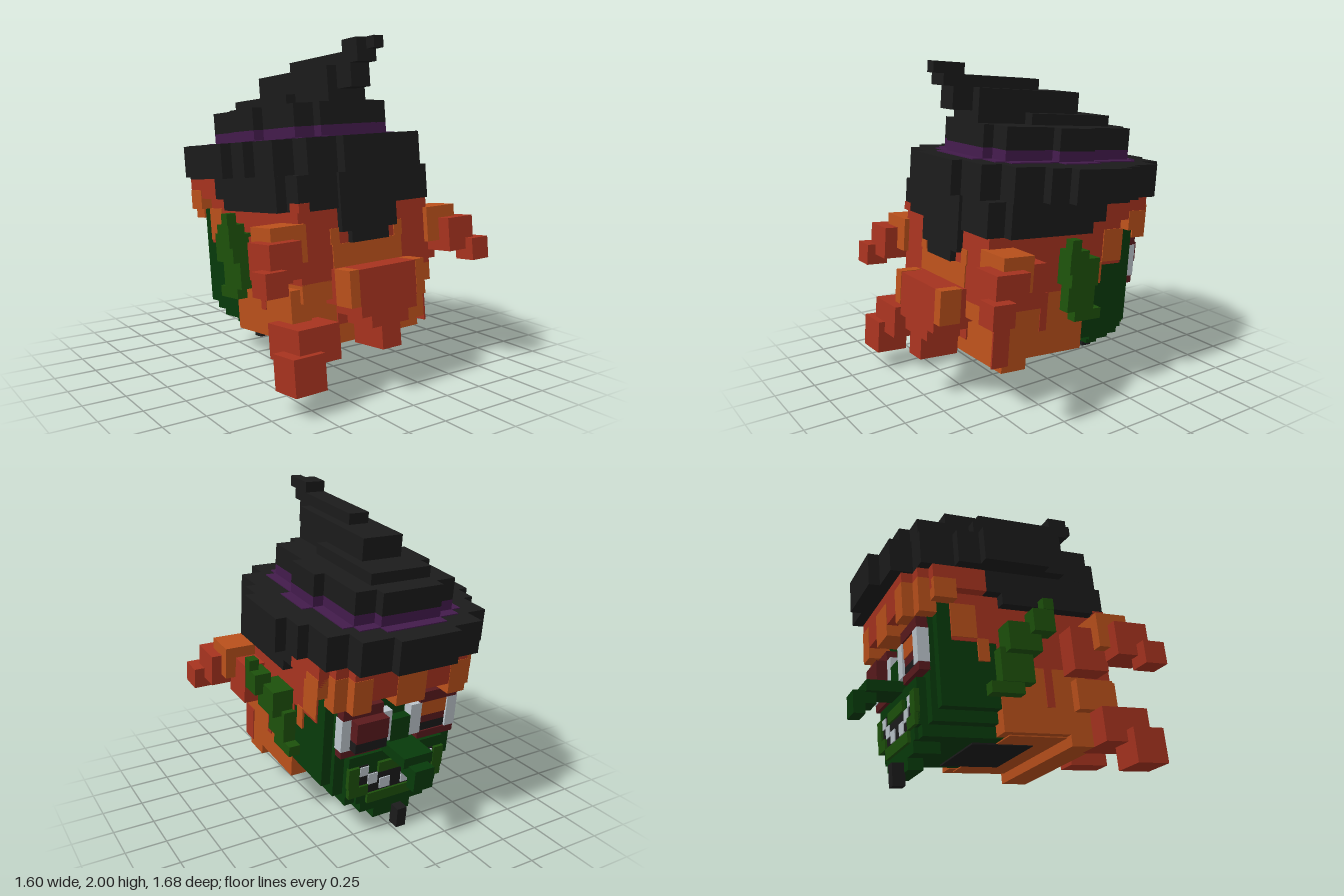
import * as THREE from 'three';

const U = 1 / 15; // one block

function material(name, color) {
  const m = new THREE.MeshStandardMaterial({ color });
  m.name = name;
  return m;
}

export function createModel() {
  const dark = material('charcoal', 0x1b1b1b);
  const purple = material('purple', 0x431b4c);
  const red = material('red hair', 0xa7331f);
  const orange = material('orange hair', 0xba501b);
  const green = material('dark green skin', 0x073a0a);
  const leaf = material('light green skin', 0x1d510b);
  const white = material('white', 0xbcc5cc);
  const maroon = material('maroon', 0x5a1a1d);

  const head = new THREE.Group();
  head.name = 'head';

  // Box from its limits on each axis
  function box(name, mat, x0, x1, y0, y1, z0, z1) {
    const mesh = new THREE.Mesh(new THREE.BoxGeometry(Math.abs(x1 - x0), y1 - y0, z1 - z0), mat);
    mesh.position.set((x0 + x1) / 2, (y0 + y1) / 2, (z0 + z1) / 2);
    mesh.name = name;
    head.add(mesh);
  }
  // Box centred on x = 0
  const mid = (name, mat, hx, ...r) => box(name, mat, -hx, hx, ...r);
  // The same box on both sides
  function pair(name, mat, x0, x1, ...r) {
    box(name + 'Left', mat, x0, x1, ...r);
    box(name + 'Right', mat, -x0, -x1, ...r);
  }
  // Slab with a stepped oval outline; steps are [half width, half length] in blocks, widest first
  function steppedSlab(name, mat, steps, y0, y1) {
    const quarter = [];
    steps.forEach(([x, z], i) => {
      if (i > 0) quarter.push([x, steps[i - 1][1]]);
      quarter.push([x, z]);
    });
    const back = quarter.slice().reverse();
    const pts = [
      ...quarter,
      ...back.map(([x, z]) => [-x, z]),
      ...quarter.map(([x, z]) => [-x, -z]),
      ...back.map(([x, z]) => [x, -z]),
    ].map(([x, z]) => new THREE.Vector2(x * U, z * U));
    const geo = new THREE.ExtrudeGeometry(new THREE.Shape(pts), { depth: y1 - y0, bevelEnabled: false });
    geo.rotateX(-Math.PI / 2);
    const mesh = new THREE.Mesh(geo, mat);
    mesh.position.set(0, y0, U / 2);
    mesh.name = name;
    head.add(mesh);
  }

  // Hat: brim, band and stacked crown leaning to +z
  steppedSlab('hatBrim', dark, [[10, 3], [9, 5], [8, 8], [6, 10], [3, 11]], 1.2, 1.4);
  steppedSlab('hatBandFlat', purple, [[7, 2], [6, 7], [5, 8], [3, 9]], 1.4, 1.406);
  steppedSlab('hatBand', purple, [[6, 2], [5, 7], [3, 8]], 1.4, 1.467);
  steppedSlab('hatCrown', dark, [[6, 2], [5, 7], [3, 8]], 1.467, 1.6);
  mid('hatStep', dark, 0.2, 1.6, 1.667, -0.37, 0.233);
  mid('hatRidge', dark, 0.133, 1.6, 1.8, -0.167, 0.567);
  mid('hatPeak', dark, 0.067, 1.667, 1.867, 0.1, 0.7);
  mid('hatPeakTop', dark, 0.067, 1.8, 1.933, 0.633, 0.767);
  box('hatTip', dark, 0, 0.067, 1.867, 1.933, 0.767, 0.835);
  mid('hatSkirt', dark, 0.533, 1.0, 1.2, -0.02, 0.57);
  mid('hatSkirtBack', dark, 0.467, 1.0, 1.2, 0.57, 0.685);
  mid('hatSkirtStep', dark, 0.533, 1.067, 1.2, -0.115, -0.02);
  mid('hatFlap', dark, 0.2, 0.867, 1.2, 0.6, 0.705);
  mid('hatFlapEnd', dark, 0.133, 0.8, 0.867, 0.6, 0.705);
  box('hatSkirtGap', red, -0.47, -0.4, 1.0, 1.05, 0.6, 0.69);

  // Face, muzzle and tapering jaw
  mid('faceSides', green, 0.46, 0.4, 1.2, -0.4, 0.45);
  mid('face', green, 0.4, 0.333, 1.2, -0.435, 0.4);
  mid('jaw', green, 0.333, 0.267, 0.4, -0.47, 0.4);
  mid('muzzle', green, 0.333, 0.333, 0.6, -0.49, -0.4);
  mid('muzzleBottom', green, 0.267, 0.267, 0.333, -0.49, -0.4);
  mid('chin', green, 0.233, 0.2, 0.267, -0.49, -0.333);
  mid('chinPoint', green, 0.133, 0.133, 0.2, -0.49, -0.4);
  box('chinWart', dark, -0.067, 0, 0.06, 0.19, -0.56, -0.485);
  mid('underHair', orange, 0.42, 0.26, 0.268, 0.0, 0.5);
  mid('neckOpening', dark, 0.25, 0.255, 0.265, -0.15, 0.23);

  // Hooked nose
  mid('noseBridge', green, 0.067, 0.6, 0.8, -0.5, -0.43);
  mid('nose', green, 0.1, 0.59, 0.655, -0.7, -0.43);
  mid('noseHook', green, 0.067, 0.525, 0.6, -0.7, -0.635);
  mid('noseTip', green, 0.067, 0.465, 0.6, -0.77, -0.7);

  // Eyes: protruding whites, one bulging iris, one half hidden by a lock
  pair('eyeWhiteOuter', white, 0.333, 0.405, 0.667, 0.867, -0.5, -0.43);
  pair('eyeWhiteInner', white, 0.067, 0.145, 0.667, 0.867, -0.5, -0.43);
  box('irisLeft', maroon, 0.133, 0.345, 0.74, 0.867, -0.567, -0.43);
  box('pupilLeft', dark, 0.133, 0.345, 0.675, 0.74, -0.56, -0.43);
  box('eyeLockRight', orange, -0.133, -0.345, 0.77, 0.867, -0.49, -0.43);
  box('irisRight', maroon, -0.133, -0.345, 0.72, 0.77, -0.485, -0.43);
  box('pupilRight', dark, -0.133, -0.345, 0.667, 0.72, -0.485, -0.43);
  pair('brow', maroon, 0.133, 0.4, 0.867, 0.933, -0.5, -0.43);
  pair('eyeBag', maroon, 0.133, 0.4, 0.62, 0.667, -0.495, -0.43);

  // Curved smile: lips, dark gap and alternating teeth
  mid('lowerLip', leaf, 0.2, 0.267, 0.333, -0.51, -0.48);
  pair('lipCorner', leaf, 0.2, 0.333, 0.333, 0.4, -0.51, -0.48);
  pair('lipSide', leaf, 0.267, 0.34, 0.4, 0.533, -0.51, -0.48);
  mid('upperLip', leaf, 0.133, 0.467, 0.533, -0.51, -0.48);
  mid('mouth', dark, 0.2, 0.333, 0.467, -0.496, -0.487);
  pair('mouthCorner', dark, 0.2, 0.267, 0.4, 0.533, -0.496, -0.487);
  pair('innerTooth', white, 0.04, 0.115, 0.345, 0.415, -0.503, -0.494);
  pair('middleTooth', white, 0.133, 0.2, 0.395, 0.465, -0.503, -0.494);
  pair('outerTooth', white, 0.2, 0.26, 0.465, 0.525, -0.503, -0.494);

  // Pointed ears sweeping up and outwards
  pair('earLobe', leaf, 0.46, 0.533, 0.467, 0.533, -0.133, 0.067);
  pair('earLower', leaf, 0.46, 0.54, 0.533, 0.733, -0.067, 0.133);
  pair('earMiddle', leaf, 0.46, 0.6, 0.7, 0.867, -0.033, 0.167);
  pair('earUpper', leaf, 0.55, 0.655, 0.8, 0.933, 0.1, 0.233);
  pair('earTip', leaf, 0.6, 0.66, 0.933, 1.0, 0.167, 0.233);

  // Hair on the sides of the head
  pair('sideHairLower', orange, 0.36, 0.467, 0.267, 0.65, -0.05, 0.5);
  pair('sideHairUpper', red, 0.36, 0.467, 0.65, 1.2, -0.05, 0.5);
  pair('sideHairStreak', red, 0.46, 0.471, 0.42, 0.65, 0.23, 0.28);
  pair('templeHair', red, 0.44, 0.467, 0.78, 1.2, -0.32, -0.05);
  pair('templeLock', orange, 0.44, 0.473, 0.8, 1.0, -0.32, -0.167);
  pair('templeLockEnd', orange, 0.44, 0.473, 0.667, 0.8, -0.167, -0.1);

  // Fringe over the forehead, rounded at the corners
  mid('fringeSides', red, 0.533, 1.067, 1.2, -0.433, -0.115);
  mid('fringeCorners', red, 0.467, 1.067, 1.2, -0.5, -0.433);
  mid('fringeFront', red, 0.385, 1.067, 1.2, -0.567, -0.5);
  pair('fringeSideLock', orange, 0.46, 0.537, 1.0, 1.12, -0.433, -0.3);
  pair('fringeCornerLock', orange, 0.385, 0.471, 0.935, 1.14, -0.503, -0.4);
  pair('fringeOuter', orange, 0.267, 0.388, 0.933, 1.14, -0.57, -0.433);
  pair('fringeInner', red, 0.1, 0.267, 1.0, 1.067, -0.567, -0.5);
  mid('fringeCentre', orange, 0.1, 0.933, 1.14, -0.57, -0.433);

  // Hair behind the head
  mid('backHairUpper', red, 0.467, 0.6, 1.0, 0.4, 0.667);
  mid('backHairBand', orange, 0.25, 0.66, 0.8, 0.66, 0.674);
  pair('backHairBandEnd', orange, 0.2, 0.26, 0.8, 0.89, 0.66, 0.674);
  mid('backHairLower', orange, 0.467, 0.2, 0.6, 0.36, 0.53);
  pair('backHairUnder', orange, 0.27, 0.467, 0.5, 0.605, 0.4, 0.667);
  pair('backHairLock', orange, 0.2, 0.467, 0.267, 0.58, 0.5, 0.6);
  box('backHairSide', red, 0.46, 0.472, 0.24, 0.47, 0.49, 0.602);
  box('backHairLooseLock', orange, -0.53, -0.4, 0.4, 0.58, 0.4, 0.64);
  mid('backHairMiddle', red, 0.2, 0.333, 0.6, 0.5, 0.61);

  // Gathered tail of hair, narrowing downwards
  mid('tailTop', red, 0.267, 0.467, 0.667, 0.58, 0.833);
  pair('tailHighlight', orange, 0.205, 0.269, 0.465, 0.67, 0.7, 0.836);
  mid('tailUpper', red, 0.2, 0.4, 0.467, 0.58, 0.833);
  mid('tailLower', red, 0.133, 0.333, 0.4, 0.58, 0.833);
  mid('tailEnd', red, 0.067, 0.2, 0.333, 0.58, 0.833);

  // Curled bunches on both sides
  pair('bunchRoot', red, 0.44, 0.6, 0.61, 0.87, 0.36, 0.58);
  pair('bunchTop', orange, 0.44, 0.667, 0.733, 0.94, 0.5, 0.7);
  pair('bunchCurl', red, 0.533, 0.733, 0.667, 0.867, 0.57, 0.785);
  pair('bunchEnd', red, 0.667, 0.8, 0.6, 0.733, 0.7, 0.84);

  // Loose lock hanging on one side
  box('looseLock', red, -0.6, -0.333, 0.2, 0.4, 0.5, 0.8);
  box('looseLockEnd', red, -0.667, -0.467, 0.065, 0.267, 0.64, 0.84);

  // Slight tilt, then centre and stand on the ground
  head.rotation.set(-0.095, 0.02, 0.018);
  const model = new THREE.Group();
  model.name = 'hattedHead';
  model.add(head);
  model.updateMatrixWorld(true);
  const bounds = new THREE.Box3().setFromObject(model, true);
  const c = bounds.getCenter(new THREE.Vector3());
  head.position.set(-c.x, -bounds.min.y, -c.z);
  return model;
}
